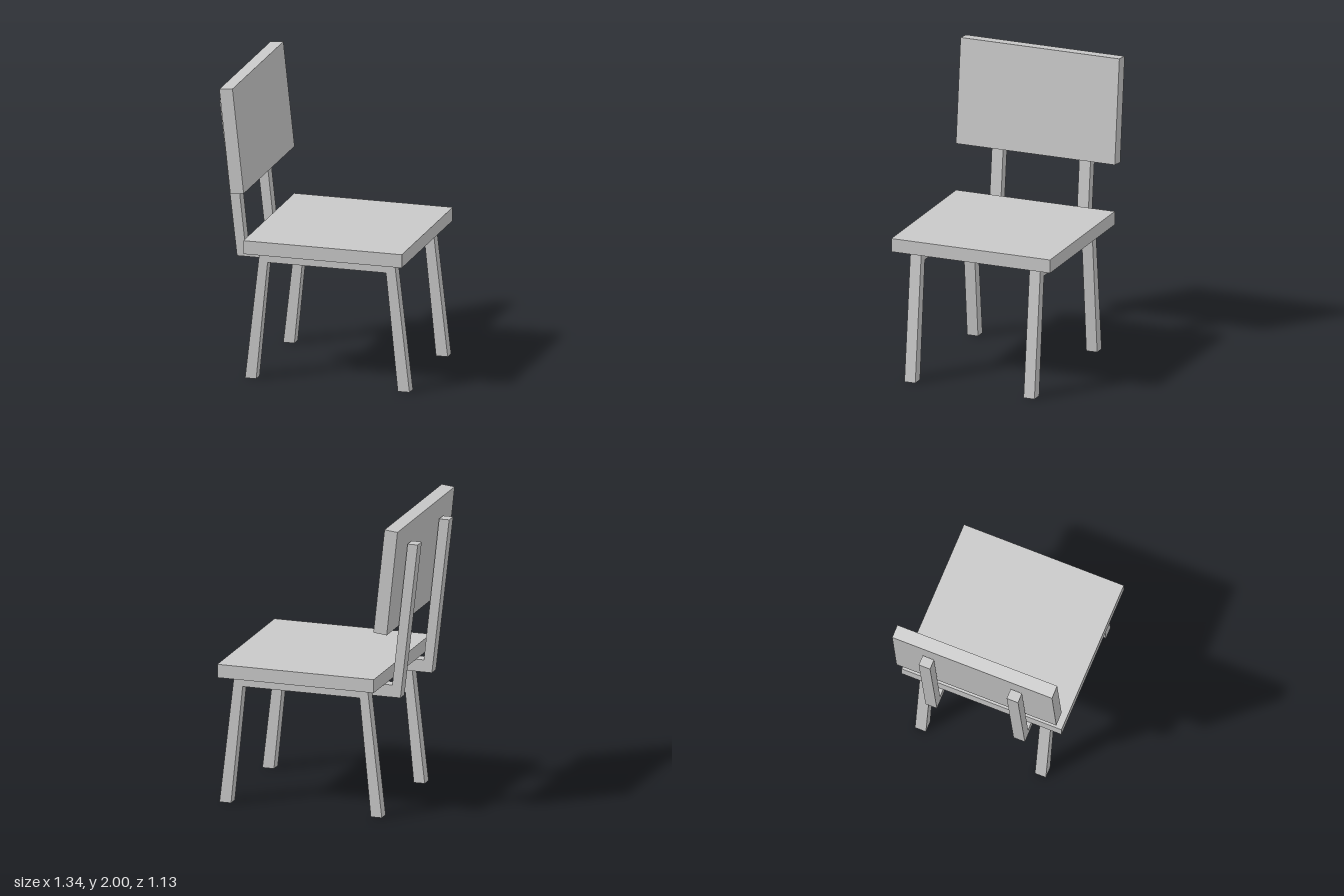
import * as THREE from 'three';

export function createModel() {
  const model = new THREE.Group();
  const grey = new THREE.MeshStandardMaterial({ color: 0xc8c8c8 });
  grey.name = 'light grey';

  // Extrudes a side profile (x, y) across z, centred on zCentre
  function addPart(name, profile, width, zCentre = 0) {
    const shape = new THREE.Shape(profile.map(([x, y]) => new THREE.Vector2(x, y)));
    const geometry = new THREE.ExtrudeGeometry(shape, { depth: width, bevelEnabled: false });
    geometry.translate(0, 0, zCentre - width / 2);
    const mesh = new THREE.Mesh(geometry, grey);
    mesh.name = name;
    model.add(mesh);
  }

  // Seat slab
  const seat = new THREE.Mesh(new THREE.BoxGeometry(1.086, 0.091, 1.13), grey);
  seat.name = 'seat';
  seat.position.set(0.103, 0.924, 0);
  model.add(seat);

  // Tilted backrest panel
  addPart('backrest', [[-0.53, 1.281], [-0.438, 1.291], [-0.515, 2], [-0.605, 1.991]], 1.13);

  // Two splayed legs joined by a rail under the seat
  const legFrame = [
    [-0.46, 0], [-0.384, 0], [-0.306, 0.803], [0.506, 0.803],
    [0.587, 0], [0.667, 0], [0.565, 0.879], [-0.36, 0.879],
  ];
  // L-shaped bracket running from under the seat up behind the backrest
  const bracket = [
    [-0.55, 0.796], [-0.245, 0.796], [-0.245, 0.879],
    [-0.494, 0.879], [-0.6, 1.852], [-0.67, 1.852],
  ];
  for (const [side, sign] of [['left', 1], ['right', -1]]) {
    addPart(`${side}LegFrame`, legFrame, 0.077, sign * 0.424);
    addPart(`${side}BackSupport`, bracket, 0.08, sign * 0.311);
  }
  return model;
}
